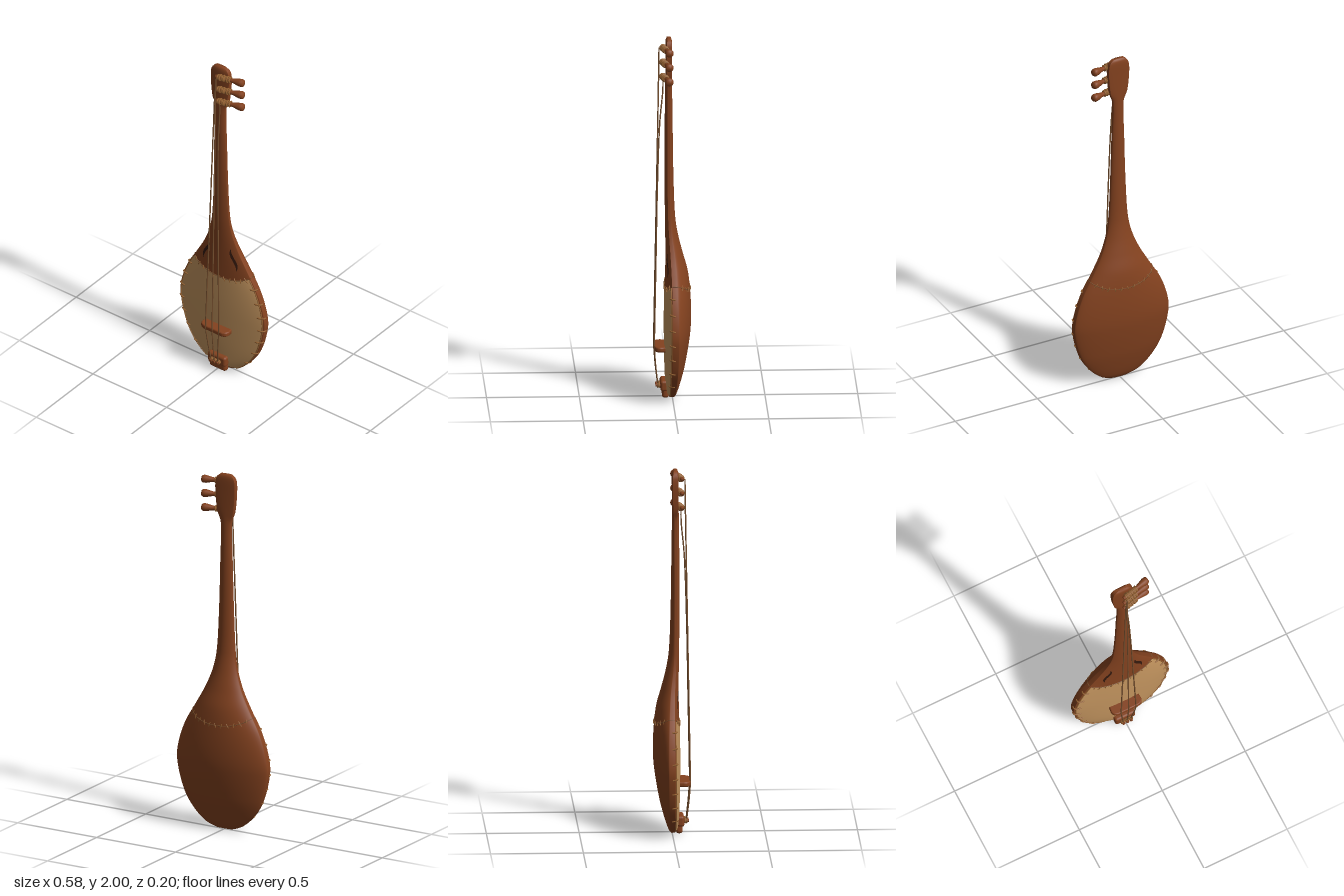
import * as THREE from 'three';
import { mergeVertices, mergeGeometries } from 'three/addons/utils/BufferGeometryUtils.js';
import { RoundedBoxGeometry } from 'three/addons/geometries/RoundedBoxGeometry.js';

const V = (x, y, z) => new THREE.Vector3(x, y, z);
const paint = (name, color) => Object.assign(new THREE.MeshStandardMaterial({ color }), { name });

// Body and neck sections: y, half width, front z, front edge z, back edge z, back z
const ROWS = [
  [0.01, 0.05, 0.02, 0.012, -0.004, -0.01],
  [0.03, 0.105, 0.03, 0.01, -0.01, -0.022],
  [0.1, 0.185, 0.036, 0.01, -0.016, -0.045],
  [0.2, 0.245, 0.04, 0.008, -0.022, -0.07],
  [0.36, 0.285, 0.042, 0.006, -0.025, -0.096],
  [0.46, 0.276, 0.042, 0.006, -0.025, -0.102],
  [0.58, 0.235, 0.04, 0.006, -0.022, -0.098],
  [0.7, 0.167, 0.037, 0.008, -0.016, -0.085],
  [0.8, 0.113, 0.036, 0.012, -0.008, -0.058],
  [0.9, 0.076, 0.037, 0.018, 0.005, -0.033],
  [1.0, 0.057, 0.039, 0.023, 0.012, -0.017],
  [1.2, 0.045, 0.04, 0.026, 0.014, -0.008],
  [1.5, 0.036, 0.04, 0.026, 0.014, -0.003],
  [1.73, 0.032, 0.038, 0.026, 0.012, 0],
  [1.79, 0.05, 0.036, 0.03, 0.006, 0],
  [1.9, 0.061, 0.036, 0.03, 0.004, 0],
  [1.965, 0.059, 0.036, 0.03, 0.004, 0],
  [1.99, 0.047, 0.034, 0.028, 0.006, 0.002],
  [2.0, 0.033, 0.03, 0.026, 0.01, 0.006],
];

// Smooth interpolation between the sections
function section(y) {
  let i = 0;
  while (i < ROWS.length - 2 && y > ROWS[i + 1][0]) i++;
  const a = ROWS[i], b = ROWS[i + 1], h = b[0] - a[0], t = (y - a[0]) / h;
  const slope = (k, c) => {
    const p = ROWS[Math.max(k - 1, 0)], q = ROWS[Math.min(k + 1, ROWS.length - 1)];
    return (q[c] - p[c]) / (q[0] - p[0]);
  };
  return a.map((_, c) => a[c] + (b[c] - a[c]) * t * t * (3 - 2 * t)
    + h * t * (1 - t) * ((1 - t) * slope(i, c) - t * slope(i + 1, c)));
}

// Point on the front or back surface; u runs from -1 to 1 across the width
function surface(u, y, front = true, lift = 0) {
  const [, w, f, ef, eb, b] = section(y);
  const k = Math.pow(Math.max(0, 1 - u * u), front ? 0.85 : 0.72);
  return V(u * w, y, front ? ef + (f - ef) * k + lift : eb + (b - eb) * k - lift);
}

// Quad grid from a point rule
function grid(nu, nv, fn) {
  const pos = [], idx = [];
  for (let j = 0; j <= nv; j++) for (let i = 0; i <= nu; i++) pos.push(...fn(i / nu, j / nv).toArray());
  for (let j = 0; j < nv; j++) for (let i = 0; i < nu; i++) {
    const a = j * (nu + 1) + i, c = a + nu + 1;
    idx.push(a, c, a + 1, a + 1, c, c + 1);
  }
  const g = new THREE.BufferGeometry();
  g.setAttribute('position', new THREE.Float32BufferAttribute(pos, 3));
  g.setIndex(idx);
  const merged = mergeVertices(g, 1e-6);
  merged.computeVertexNormals();
  return merged;
}

const tube = (pts, r, n = 12) => new THREE.TubeGeometry(new THREE.CatmullRomCurve3(pts), n, r, 6);
const line = (n, fn) => Array.from({ length: n + 1 }, (_, i) => fn(i / n));
const seamY = u => 0.612 + 0.05 * u * u;

export function createModel() {
  const wood = paint('reddish wood', 0x84421f);
  const hide = paint('tan hide', 0xc4955f);
  const cord = paint('orange brown cord', 0x986433);
  const stringMat = paint('brown string', 0x7a5230);
  const dark = paint('sound hole dark', 0x34190d);
  hide.side = dark.side = THREE.DoubleSide;

  const model = new THREE.Group();
  const add = (name, geo, mat, parent = model) => {
    const m = new THREE.Mesh(geo, mat);
    m.name = name;
    parent.add(m);
    return m;
  };

  // Bowl, neck and head in one lofted piece, closed at both ends
  const N = 160;
  add('bodyAndNeck', grid(48, N + 2, (s, t) => {
    const j = Math.round(t * (N + 2)), i = Math.round(s * 48);
    const y = 0.01 + 1.99 * Math.min(Math.max((j - 1) / N, 0), 1);
    if (j === 0 || j === N + 2) return V(0, y, section(y)[3] - 0.008);
    if (i === 48) return surface(1, y);
    const u = Math.cos((i % 24) / 23 * Math.PI);
    return i < 24 ? surface(u, y) : surface(-u, y, false);
  }), wood);

  // Stretched hide on the front
  add('hideTop', grid(32, 32, (s, t) => {
    const u = 0.95 * Math.cos(s * Math.PI);
    return surface(u, 0.03 + (seamY(u) - 0.03) * t, true, 0.002);
  }), hide);

  // Cords along the hide edge and the seam right round the back
  for (const s of [-1, 1])
    add('rimCord', tube(line(24, t => surface(s * 0.965, 0.03 + 0.625 * t, true, 0.002)), 0.0035, 50), cord);
  add('frontSeam', tube(line(24, t => {
    const u = 1.9 * t - 0.95;
    return surface(u, seamY(u), true, 0.001);
  }), 0.0025, 50), stringMat);
  const backLine = line(24, t => surface(2 * t - 1, seamY(2 * t - 1), false));
  add('backSeam', tube([surface(-1, seamY(1)), ...backLine, surface(1, seamY(1))], 0.0022, 60), stringMat);

  // Stitches: loops over the rim, short ties across both seams
  const loops = [], ties = [], backTies = [];
  for (const s of [-1, 1]) for (let i = 0; i < 7; i++) {
    const y = 0.1 + 0.083 * i, x = s * (section(y)[1] + 0.001);
    loops.push(tube([surface(s * 0.87, y, true, 0.002), surface(s * 0.94, y + 0.002, true, 0.007),
      V(x, y + 0.003, 0.008), V(x, y, -0.008)], 0.0042, 10));
  }
  for (let i = 0; i < 11; i++) {
    const u = -0.85 + 0.17 * i, y = seamY(u), d = i % 2 ? 0.02 : -0.02;
    ties.push(tube([surface(u - d, y - 0.014, true, 0.002), surface(u, y, true, 0.005),
      surface(u + d, y + 0.012, true, 0.001)], 0.0028, 6));
    backTies.push(tube([surface(u - d, y - 0.012, false), surface(u, y, false, 0.003),
      surface(u + d, y + 0.012, false)], 0.0024, 6));
  }
  add('rimStitches', mergeGeometries(loops), cord);
  add('frontStitches', mergeGeometries(ties), cord);
  add('backStitches', mergeGeometries(backTies), cord);

  // Curved sound holes, tapering at both ends
  for (const s of [-1, 1]) {
    add('soundHole', grid(2, 20, (a, t) => {
      const y = 0.685 + 0.135 * t;
      const x = 0.092 + 0.018 * Math.cos(t * Math.PI) + 0.005 * Math.sin(t * Math.PI * 2)
        + (a - 0.5) * 0.02 * Math.sin(Math.PI * t);
      return surface(s * x / section(y)[1], y, true, 0.0025);
    }), dark);
  }

  // Bridge: upright plate with rounded outer corners
  const b = new THREE.Shape();
  b.moveTo(-0.08, 0.03);
  b.lineTo(0.08, 0.03);
  b.lineTo(0.084, 0.065);
  b.quadraticCurveTo(0.082, 0.09, 0.055, 0.091);
  b.lineTo(-0.055, 0.091);
  b.quadraticCurveTo(-0.082, 0.09, -0.084, 0.065);
  const bridge = new THREE.ExtrudeGeometry(b, {
    depth: 0.01, bevelSize: 0.007, bevelThickness: 0.009, bevelSegments: 5, curveSegments: 8 });
  add('bridge', bridge.rotateX(Math.PI / 2), wood).position.y = 0.288;

  // Tailpiece: foot over the bottom edge and a wider block
  add('tailFoot', new RoundedBoxGeometry(0.112, 0.07, 0.036, 3, 0.015), wood).position.set(0, 0.04, 0.038);
  add('tailBlock', new RoundedBoxGeometry(0.122, 0.06, 0.04, 3, 0.014), wood).position.set(0, 0.072, 0.045);

  // Pegs with cord wrapping, and the strings
  const profile = [[0, -0.012], [0.011, -0.01], [0.012, 0.02], [0.011, 0.08], [0.014, 0.1],
    [0.021, 0.13], [0.022, 0.146], [0.017, 0.156], [0, 0.159]].map(p => new THREE.Vector2(...p));
  [1.79, 1.87, 1.95].forEach((y, i) => {
    const peg = new THREE.Group();
    peg.name = 'peg';
    peg.position.set(0.001, y, 0.053);
    peg.rotation.set(0, 0.24, 0);
    model.add(peg);
    add('pegShaft', new THREE.LatheGeometry(profile, 16).rotateZ(-Math.PI / 2), wood, peg);
    const rings = [];
    for (let k = 0; k < 11; k++) rings.push(new THREE.TorusGeometry(0.0125 + 0.002 * (k % 3), 0.0045, 6, 14)
      .rotateY(Math.PI / 2 + (k % 2 ? 0.12 : -0.08)).translate(0.004 + k * 0.0072, 0, 0));
    add('pegWrap', mergeGeometries(rings), cord, peg);

    const bx = [0.045, -0.045, 0][i], tx = bx * 0.5;
    const start = [V(0.012, 1.79, 0.068), V(-0.002, 1.87, 0.071), V(0.004, 1.95, 0.071)][i];
    const at = (t, dz = 0) => V(start.x + (bx - start.x) * t, start.y + (0.285 - start.y) * t,
      start.z + (0.098 - start.z) * t + dz);
    // The lowest string starts close to the neck
    const pts = i === 0 ? [V(0.012, 1.79, 0.05), V(0.014, 1.72, 0.05), at(0.17, -0.006), at(0.4), at(0.7), at(1)]
      : [at(0), at(0.25), at(0.5), at(0.75), at(1)];
    add('string', tube(pts, 0.0038, 40), stringMat);
    add('stringTail', tube([at(1), V((bx + tx) / 2, 0.18, 0.09), V(tx, 0.075, 0.078)], 0.0038, 12), stringMat);

    // Short posts on the tailpiece hold the string ends
    add('tailPost', new THREE.CylinderGeometry(0.008, 0.008, 0.032, 12).rotateX(Math.PI / 2), wood)
      .position.set(tx, 0.07, 0.074);
    for (const z of [0.07, 0.078])
      add('tailKnot', new THREE.TorusGeometry(0.0105, 0.0045, 6, 14), cord).position.set(tx, 0.07, z);
  });

  return model;
}
